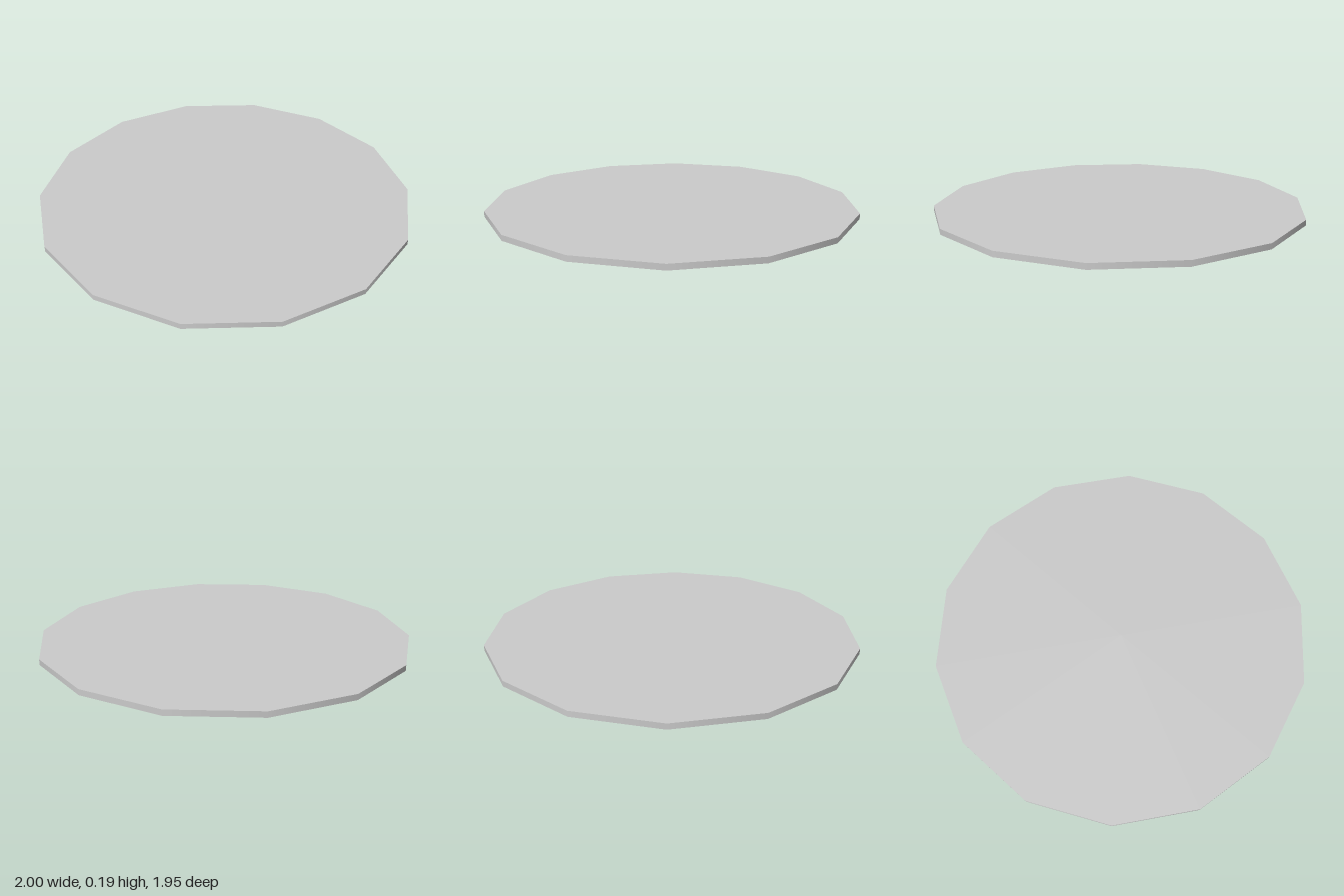
import * as THREE from 'three';

const SIDES = 14;

export function createModel() {
  const group = new THREE.Group();
  group.name = 'plate';
  const smooth = new THREE.MeshStandardMaterial({ color: 0xcccccc });
  const faceted = new THREE.MeshStandardMaterial({ color: 0xcccccc, flatShading: true });

  // One 14-sided band between two [radius, height] points, with corners on the x axis
  const band = (name, from, to, material) => {
    const points = [new THREE.Vector2(...from), new THREE.Vector2(...to)];
    const geometry = new THREE.LatheGeometry(points, SIDES).rotateY(Math.PI / 2);
    const mesh = new THREE.Mesh(geometry, material);
    mesh.name = name;
    group.add(mesh);
  };

  // Foot ring with its recess, from the axis outwards
  band('footRecess', [0, 0.035], [0.357, 0.035], faceted);
  band('footInnerWall', [0.357, 0.035], [0.357, 0], faceted);
  band('footBase', [0.357, 0], [0.405, 0], faceted);
  band('footOuterWall', [0.405, 0], [0.405, 0.035], faceted);

  // Sloping underside, rim and flat top
  band('innerUnderside', [0.405, 0.035], [0.678, 0.067], faceted);
  band('outerUnderside', [0.678, 0.067], [1, 0.165], smooth);
  band('rim', [1, 0.165], [1, 0.195], smooth);
  band('top', [1, 0.195], [0, 0.195], faceted);

  return group;
}
